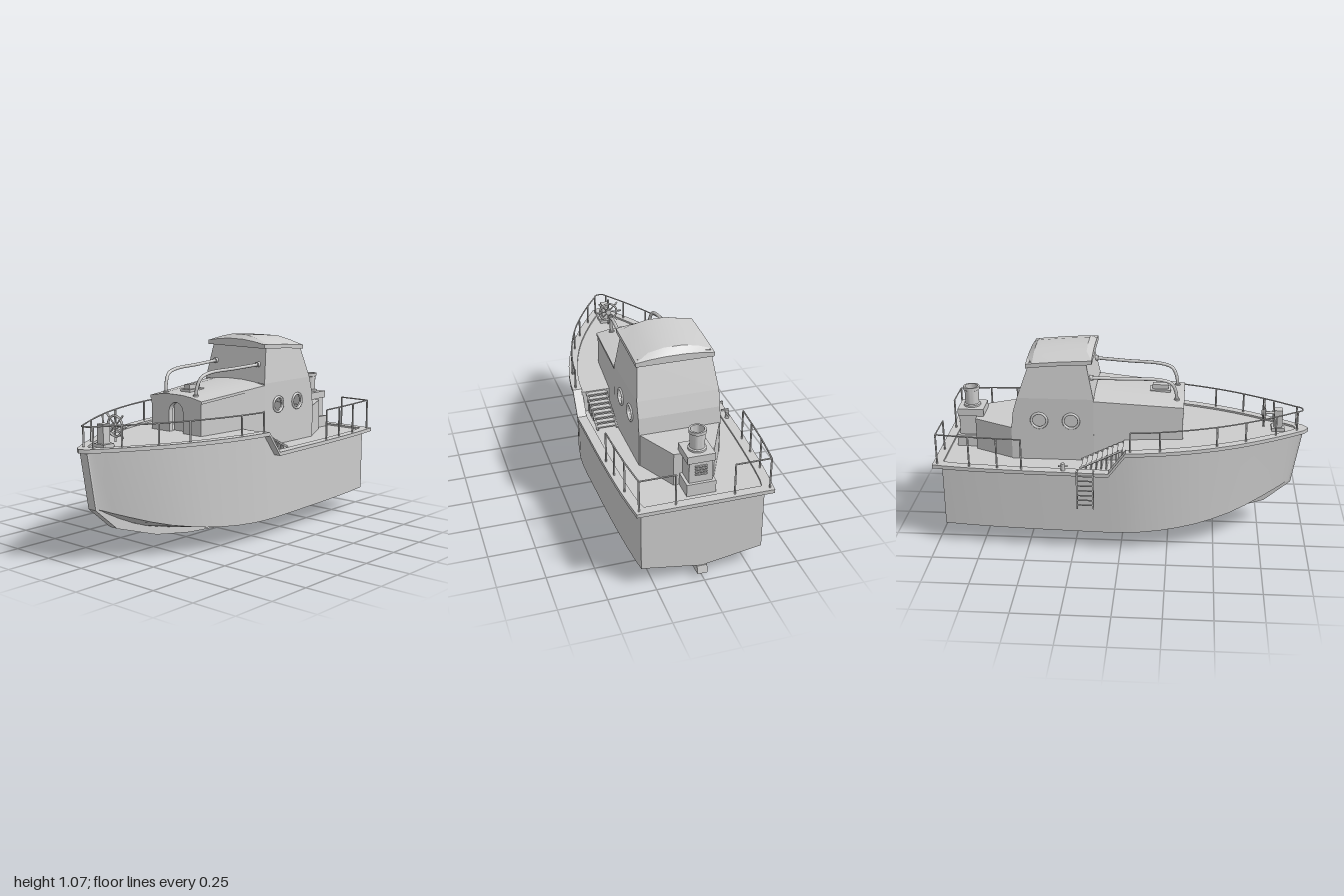
import * as THREE from 'three';
import { toCreasedNormals } from 'three/addons/utils/BufferGeometryUtils.js';

const V = (x, y, z) => new THREE.Vector3(x, y, z);
const grey = new THREE.MeshStandardMaterial({ color: 0xcccccc, side: THREE.DoubleSide });

// Linear lookup in a list of [position, value] pairs
function lookup(table, z) {
  if (z <= table[0][0]) return table[0][1];
  for (let i = 1; i < table.length; i++) {
    const [z0, a] = table[i - 1], [z1, b] = table[i];
    if (z <= z1) return a + (b - a) * (z - z0) / (z1 - z0);
  }
  return table[table.length - 1][1];
}
const smooth = pairs => new THREE.SplineCurve(pairs.map(p => new THREE.Vector2(...p))).getPoints(120).map(p => [p.x, p.y]);

// Curves of the boat along its length: rim half width, chine height, keel line and sheer
const rimWidth = smooth([[-1, .35], [-.8, .372], [-.5, .388], [-.2, .396], [.03, .4], [.2, .38], [.4, .33], [.6, .255], [.8, .15], [.95, .055], [.985, .03], [1, 0]]);
const chineY = smooth([[-.96, .112], [-.4, .108], [0, .108], [.3, .125], [.6, .172], [.8, .232], [.94, .285]]);
const bottomY = smooth([[-.96, .06], [-.7, .042], [0, .045], [.3, .07], [.6, .13], [.8, .205], [.94, .28]]);
const sheerY = [[-.06, .47], [.03, .59]];
const stations = [-1, -.9, -.8, -.7, -.6, -.5, -.4, -.3, -.2, -.1, -.06, .03, .1, .2, .3, .4, .5, .6, .7, .8, .87, .92, .95, .975, 1];
const rimAt = z => lookup(rimWidth, z);

export function createModel() {
  const model = new THREE.Group();
  const add = (name, geo, parent = model) => {
    const m = new THREE.Mesh(geo, grey);
    m.name = name;
    parent.add(m);
    return m;
  };
  const group = name => {
    const g = new THREE.Group();
    g.name = name;
    model.add(g);
    return g;
  };
  // Surface through cross-sections, each a list of [x, y, z]
  const loft = (sections, caps = false, crease = .5) => {
    const n = sections[0].length, pos = sections.flat(2), idx = [];
    for (let i = 0; i < sections.length - 1; i++) for (let j = 0; j < n - 1; j++) {
      const a = i * n + j, b = a + n;
      idx.push(a, b, a + 1, b, b + 1, a + 1);
    }
    if (caps) [0, sections.length - 1].forEach((s, k) => {
      const c = pos.length / 3;
      for (let d = 0; d < 3; d++) pos.push(sections[s].reduce((t, p) => t + p[d], 0) / n);
      for (let j = 0; j < n; j++) {
        const a = s * n + j, b = s * n + (j + 1) % n;
        idx.push(c, k ? b : a, k ? a : b);
      }
    });
    const g = new THREE.BufferGeometry();
    g.setAttribute('position', new THREE.Float32BufferAttribute(pos, 3));
    g.setIndex(idx);
    return toCreasedNormals(g, crease);
  };
  const shape = pts => new THREE.Shape(pts.map(p => new THREE.Vector2(...p)));
  const extrude = (s, depth) => new THREE.ExtrudeGeometry(s, { depth, bevelEnabled: false, curveSegments: 20 });
  // Side profile of [z, y] points, extruded across x
  const sideSlab = (s, w, x = 0) => extrude(s, w).rotateY(-Math.PI / 2).translate(x + w / 2, 0, 0);
  // Plan of [x, z] points, extruded upwards
  const planSlab = (pts, y, h) => extrude(shape(pts.map(([x, z]) => [x, -z])), h).rotateX(-Math.PI / 2).translate(0, y, 0);
  const box = (x, y, z, w, h, d) => new THREE.BoxGeometry(w, h, d).translate(x, y, z);
  const rod = (a, b, r, sides = 8) => {
    const d = b.clone().sub(a), g = new THREE.CylinderGeometry(r, r, d.length(), sides);
    g.applyQuaternion(new THREE.Quaternion().setFromUnitVectors(V(0, 1, 0), d.normalize()));
    return g.translate(...a.clone().add(b).multiplyScalar(.5).toArray());
  };
  const mirrored = pts => [...pts, ...pts.slice().reverse().map(([x, ...r]) => [-x, ...r])];

  // Hull with hard chines and raked bow
  const hullZ = [-.955, ...stations.filter(z => z > -.95 && z < .93), .945];
  add('hull', loft(hullZ.map(z => {
    const w = Math.max(.025, rimAt(z) - .04), yt = lookup(sheerY, z);
    const yc = lookup(chineY, z), yk = lookup(bottomY, z);
    const zz = y => z + Math.max(0, (z - .4) / .55) * (.02 - .05 * (.58 - y) / .29);
    return [[w, yt, zz(yt)], [w, yc, zz(yc)], [0, yk, zz(yk)], [-w, yc, zz(yc)], [-w, yt, zz(yt)]];
  }), true));
  add('keel', sideSlab(shape([[.97, .58], [.92, .28], [.78, .16], [.5, .07], [.25, .03], [0, .012], [-.6, 0], [-.97, .02], [-.96, .062],
    [-.6, .06], [0, .07], [.3, .1], [.6, .17], [.8, .25], [.88, .31], [.93, .58]]), .053));

  // Rim around the deck, stepping down amidships
  const rimSection = (z, s) => {
    const w = rimAt(z), y = lookup(sheerY, z) + .005, wi = Math.max(0, w - .05), zi = Math.min(.93, Math.max(-.95, z));
    return [[s * w, y, z], [s * w, y - .02, z], [s * wi, y - .02, zi], [s * wi, y, zi], [s * w, y, z]];
  };
  const loop = [...stations.map(z => rimSection(z, 1)), ...stations.slice(0, -1).reverse().map(z => rimSection(z, -1))];
  add('rim', loft([...loop, loop[0]]));

  // Decks
  const deckPlan = (z0, z1) => mirrored([z0, ...stations.filter(z => z > z0 && z < z1), z1].map(z => [Math.max(.005, rimAt(z) - .046), z]));
  add('foreDeck', planSlab(deckPlan(.01, .93), .46, .125));
  add('aftDeck', planSlab(deckPlan(-.952, .02), .44, .025));

  // Side walls of the wheelhouse with portholes, and stairs beside them
  for (const s of [1, -1]) {
    const wall = shape([[-.15, .46], [-.15, .815], [-.555, .815], [-.58, .73], [-.59, .64], [-.59, .46]]);
    for (const z of [-.27, -.44]) {
      wall.holes.push(new THREE.Path().absarc(z, .69, .037, 0, Math.PI * 2, true));
      add('portholeRing', new THREE.TorusGeometry(.041, .007, 8, 28).rotateY(Math.PI / 2).translate(s * .217, .69, z));
    }
    add('wheelhouseSide', sideSlab(wall, .012, s * .209));
    const stairs = group('stairs');
    for (let i = 0; i < 8; i++) {
      const z = -.003 - i * .027, y = .575 - i * .0135;
      add('tread', box(s * .275, y, z, .105, .007, .03), stairs);
      add('riser', box(s * .275, (y + .46) / 2, z + .008, .1, y - .46, .006), stairs);
    }
    for (const x of [.222, .328]) add('stringer', rod(V(s * x, .58, .01), V(s * x, .472, -.215), .006, 4), stairs);
  }

  // Tapered upper wheelhouse, closed back and cambered roof
  const ring = (w, y, z0, z1) => [[w, y, z0], [w, y, z1], [-w, y, z1], [-w, y, z0], [w, y, z0]];
  add('wheelhouseUpper', loft([ring(.215, .815, -.15, -.555), ring(.19, 1.01, -.19, -.485)], false, .1));
  add('wheelhouseBack', loft([[.815, -.555], [.73, -.58], [.64, -.59], [.46, -.59]].map(([y, z]) => [[.215, y, z], [-.215, y, z]]), false, .05));
  add('wheelhouseRoof', loft([[-.158, 1.005, .02], [-.19, 1.003, .045], [-.33, .995, .044], [-.47, .983, .042], [-.505, .978, .015]].map(([z, y, h]) => {
    const arc = [[.205, y], [.205, y + .022], [.13, y + .022 + h * .62], [.05, y + .022 + h]].map(([x, yy]) => [x, yy, z]);
    const r = mirrored(arc);
    return [...r, r[0]];
  }), true, .35));
  add('aftHousing', planSlab(mirrored([[.215, -.58], [.105, -.805]]), .46, .182));

  // Fore cabin with a cambered top and a doorway
  const camber = w => [[w, 0], [w * .6, .014], [w * .25, .02]];
  const cabinEnds = [[.315, .18, .762], [-.16, .215, .8]];
  add('foreCabinSides', loft(cabinEnds.map(([z, w, y]) => [[w, .46, z], ...mirrored(camber(w)).map(([x, dy]) => [x, y + dy, z]), [-w, .46, z]])));
  add('foreCabinTop', loft([[.325, .186, .768], [-.15, .219, .806]].map(([z, w, y]) => {
    const top = mirrored(camber(w));
    const r = [...top.map(([x, d]) => [x, y + d, z]), ...top.reverse().map(([x, d]) => [x, y + d - .014, z])];
    return [...r, r[0]];
  }), true));
  const front = new THREE.Shape();
  front.moveTo(-.18, .575).lineTo(-.05, .575).lineTo(-.05, .695).absarc(0, .695, .05, Math.PI, 0, true);
  front.lineTo(.05, .575).lineTo(.18, .575);
  camber(.18).forEach(([x, d]) => front.lineTo(x, .762 + d));
  camber(.18).reverse().forEach(([x, d]) => front.lineTo(-x, .762 + d));
  add('foreCabinFront', extrude(front, .03).translate(0, 0, .292));
  add('foreCabinDoor', box(0, .665, .27, .12, .18, .01));
  add('skylightBase', box(0, .798, .195, .07, .02, .11).rotateX(0));
  add('skylight', box(0, .815, .195, .036, .034, .085));

  // Pipes from the fore cabin to the wheelhouse
  for (const s of [1, -1]) {
    const path = new THREE.CatmullRomCurve3([[.108, .77, .285], [.112, .83, .28], [.12, .88, .255], [.125, .9, .2], [.14, .908, 0], [.155, .915, -.175]].map(([x, y, z]) => V(s * x, y, z)));
    add('pipe', new THREE.TubeGeometry(path, 40, .009, 10));
    add('pipeFlange', rod(V(s * .154, .915, -.155), V(s * .155, .915, -.178), .015, 14));
    add('pipeFoot', rod(V(s * .108, .77, .285), V(s * .108, .792, .285), .015, 14));
  }

  // Funnel on its housing
  const funnel = group('funnel');
  add('plinth', box(0, .495, -.845, .15, .07, .145), funnel);
  add('housing', box(0, .56, -.845, .12, .19, .115), funnel);
  add('housingTop', box(0, .662, -.838, .142, .04, .142), funnel);
  const stack = [[.046, 0], [.046, .012], [.038, .016], [.038, .092], [.044, .095], [.044, .112], [.034, .112], [.034, .02], [0, .02]];
  add('stack', toCreasedNormals(new THREE.LatheGeometry(stack.map(p => new THREE.Vector2(...p)), 28).translate(0, .68, -.84), .6), funnel);
  for (let i = 0; i < 4; i++) add('louvre', box(0, .575 + i * .015, -.905, .06, .007, .012), funnel);

  // Railings
  const onRim = (z, s, y) => V(s * Math.max(0, rimAt(z) - .02), y, z - .015 * Math.max(0, z));
  const foreRail = group('foreRailing');
  const railZ = [.055, .13, .21, .3, .4, .51, .6, .7, .8, .88, .94, .975];
  const railPts = [...railZ.map(z => onRim(z, 1, .702)), ...railZ.slice().reverse().map(z => onRim(z, -1, .702))];
  add('rail', new THREE.TubeGeometry(new THREE.CatmullRomCurve3(railPts), 120, .004, 6), foreRail);
  for (const s of [1, -1]) {
    for (const z of [.055, .21, .51, .665, .83, .95]) add('post', rod(onRim(z, s, .59), onRim(z, s, .702), .005), foreRail);
    const aft = group('aftRailing');
    const pts = [-.52, -.65, -.8, -.975].map(z => V(s * (rimAt(z) - .02), .643, z));
    pts.push(V(s * .15, .643, -.975));
    pts.forEach((p, i) => {
      add('post', rod(V(p.x, .47, p.z), p, .005), aft);
      if (i) add('rail', rod(pts[i - 1], p, .004, 6), aft);
    });
  }

  // Spoked wheel on a stand at the bow
  const wheel = group('wheel');
  add('standBase', box(0, .592, .835, .075, .02, .07), wheel);
  add('stand', box(0, .645, .835, .045, .11, .045), wheel);
  add('shaft', rod(V(0, .678, .745), V(0, .678, .84), .008, 12), wheel);
  add('hub', rod(V(0, .678, .745), V(0, .678, .77), .016, 16), wheel);
  add('ring', new THREE.TorusGeometry(.052, .006, 8, 32).translate(0, .678, .757), wheel);
  for (let i = 0; i < 8; i++) {
    const a = i * Math.PI / 4, p = r => V(r * Math.cos(a), .678 + r * Math.sin(a), .757);
    add('spoke', rod(p(0), p(.07), .004), wheel);
    add('handle', rod(p(.06), p(.08), .0055), wheel);
  }

  // Boarding ladder and bollard on the right side
  const ladder = group('ladder');
  for (const z of [-.225, -.14]) {
    add('ladderSide', box(-.4, .375, z, .012, .21, .008), ladder);
    add('ladderHook', box(-.385, .48, z, .042, .008, .008), ladder);
  }
  for (let i = 0; i < 7; i++) add('rung', rod(V(-.4, .29 + i * .028, -.225), V(-.4, .29 + i * .028, -.14), .004), ladder);
  const bollard = group('bollard');
  add('bollardPost', rod(V(-.368, .47, -.3), V(-.368, .515, -.3), .011, 14), bollard);
  add('bollardBar', rod(V(-.368, .5, -.325), V(-.368, .5, -.275), .006), bollard);

  return model;
}
